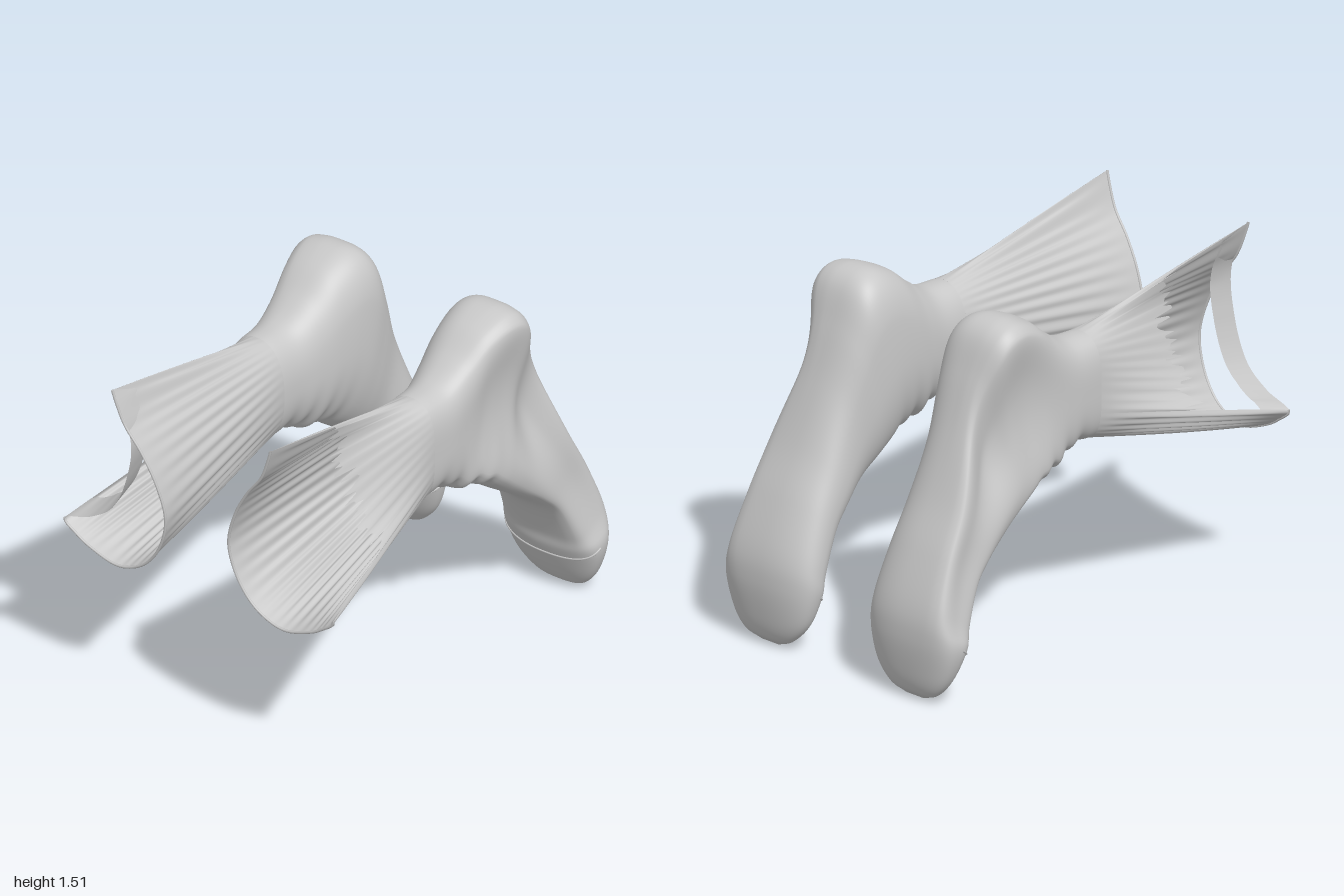
import * as THREE from 'three';

// Foot stations from ankle to toe: back z, back y, inner x, front z, front y, outer x
const STATIONS = [
  [0.05, 1.30, 0.25, 0.05, 0.84, 0.53],
  [-0.08, 1.31, 0.24, -0.04, 0.85, 0.54],
  [-0.20, 1.38, 0.22, -0.12, 0.82, 0.55],
  [-0.32, 1.47, 0.20, -0.20, 0.79, 0.57],
  [-0.45, 1.51, 0.185, -0.28, 0.77, 0.595],
  [-0.55, 1.46, 0.18, -0.36, 0.71, 0.60],
  [-0.62, 1.30, 0.19, -0.43, 0.66, 0.595],
  [-0.70, 1.07, 0.205, -0.52, 0.60, 0.595],
  [-0.80, 0.82, 0.19, -0.62, 0.53, 0.61],
  [-0.90, 0.62, 0.18, -0.70, 0.45, 0.625],
  [-0.98, 0.42, 0.165, -0.77, 0.30, 0.65],
  [-1.00, 0.28, 0.165, -0.79, 0.22, 0.665],
  [-0.985, 0.13, 0.205, -0.835, 0.11, 0.62],
  [-0.96, 0.04, 0.28, -0.88, 0.03, 0.55],
  [-0.92, 0.00, 0.36, -0.92, 0.00, 0.46],
];
const LAST = STATIONS.length - 1;
const spline = (pts, closed = false) => new THREE.CatmullRomCurve3(pts, closed, 'catmullrom', 0.5);
const backLine = spline(STATIONS.map(s => new THREE.Vector3(s[2], s[1], s[0])));
const frontLine = spline(STATIONS.map(s => new THREE.Vector3(s[5], s[4], s[3])));

// Leg opening, starting at the top, round the inner side, then back along the caved-in outer side
const RIM = spline([
  [0.40, 1.50], [0.35, 1.36], [0.27, 1.25], [0.20, 1.12], [0.16, 0.97], [0.19, 0.83],
  [0.26, 0.72], [0.35, 0.66], [0.44, 0.645], [0.55, 0.68], [0.62, 0.72], [0.68, 0.78],
  [0.55, 0.83], [0.43, 0.92], [0.35, 1.09], [0.32, 1.29],
].map(([x, y]) => new THREE.Vector3(x, y, 0.94 + 0.06 * (y - 0.64) / 0.86)), true);
const TEAR = 11 / 16; // where the torn outer wall begins around the loop

const soft = (c, p) => Math.sign(c) * Math.pow(Math.abs(c), p);
const bump = (u, centre, width) => Math.exp(-(((u - centre) / width) ** 2));

// Point on the foot: u from ankle to toe, v once around from the back through the inner side
function footPoint(u, v) {
  const a = backLine.getPoint(u), b = frontLine.getPoint(u);
  const ang = v * Math.PI * 2, cos = Math.cos(ang), sin = Math.sin(ang);
  // the heel is broad and squarish, the outer side has firm edges, the rest is round
  const heel = bump(u, 0.36, 0.16);
  const body = THREE.MathUtils.smoothstep(u, 0.05, 0.25) * (1 - THREE.MathUtils.smoothstep(u, 0.7, 0.85));
  const square = sin < 0 ? 0.35 * body : 0;
  const back = cos > 0 ? 0.25 * heel * Math.min(1, cos * 3) : 0;
  const c = soft(cos, 0.88 - back), s = soft(sin, 0.88 - Math.max(back, square * Math.min(1, -sin * 3)));
  // gathered folds on the front of the ankle
  let k = c;
  if (u < 0.34) {
    const fade = Math.sin(Math.PI * u / 0.34);
    k -= Math.max(0, -c) * 0.05 * fade * Math.sin(u / 0.34 * Math.PI * 8);
  }
  let x = (a.x + b.x) / 2 - s * (b.x - a.x) / 2;
  if (s < 0) {
    // caved-in outer wall between its edges, and the back edge drawn in below the heel
    const hollow = (0.02 + 0.07 * bump(u, 0.31, 0.12) + 0.03 * bump(u, 0.62, 0.12)) * Math.min(1, (1 - u) * 4);
    const pinch = 0.085 * bump(u, 0.46, 0.075) * THREE.MathUtils.smoothstep(c, -0.7, 0.3);
    x += s * (hollow * Math.max(0, 1 - (c / 0.85) ** 2) + pinch);
  }
  return new THREE.Vector3(x,
    (a.y + b.y) / 2 + k * (a.y - b.y) / 2,
    (a.z + b.z) / 2 + k * (a.z - b.z) / 2);
}

// Point on the ribbed leg: t from ankle to opening
function legPoint(t, v) {
  const p = footPoint(0, v).lerp(RIM.getPoint(v), t);
  const rib = 1 + 0.02 * Math.sin(Math.PI * t) * Math.sin(v * Math.PI * 72);
  p.x = 0.4 + (p.x - 0.4) * rib;
  p.y = 1.08 + (p.y - 1.08) * rib;
  return p;
}

// Surface grid from a rule; closed grids share their seam for smooth normals
function sheet(point, nu, nv, closed, side) {
  const pos = [], idx = [], cols = closed ? nv : nv + 1;
  for (let i = 0; i <= nu; i++) for (let j = 0; j < cols; j++) {
    const p = point(i / nu, j / nv);
    pos.push(p.x * side, p.y, p.z);
  }
  for (let i = 0; i < nu; i++) for (let j = 0; j < nv; j++) {
    const a = i * cols + j, b = i * cols + (j + 1) % cols, c = a + cols, d = b + cols;
    if (side > 0) idx.push(a, b, c, b, d, c);
    else idx.push(a, c, b, b, c, d);
  }
  const g = new THREE.BufferGeometry();
  g.setAttribute('position', new THREE.Float32BufferAttribute(pos, 3));
  g.setIndex(idx);
  g.computeVertexNormals();
  return g;
}

// Repeatable uneven value for frayed edges
const fray = n => { const q = Math.sin(n * 127.1) * 43758.5453; return q - Math.floor(q); };

export function createModel() {
  const model = new THREE.Group();
  model.name = 'socks';
  const knit = new THREE.MeshStandardMaterial({ color: 0xc8c8c8, side: THREE.DoubleSide });
  knit.name = 'grey knit';

  for (const side of [1, -1]) {
    const sock = new THREE.Group();
    sock.name = side > 0 ? 'leftSock' : 'rightSock';
    const add = (name, geometry) => {
      const mesh = new THREE.Mesh(geometry, knit);
      mesh.name = name;
      sock.add(mesh);
    };
    const cord = (fn, radius, n) => {
      const pts = [];
      for (let i = 0; i <= n; i++) {
        const p = fn(i / n);
        p.x *= side;
        pts.push(p);
      }
      return new THREE.TubeGeometry(spline(pts), n * 2, radius, 6);
    };

    // Foot with heel and toe
    add('foot', sheet(footPoint, 112, 96, true, side));
    add('toeSeam', cord(w => footPoint((11 + 0.35 * Math.sin(Math.PI * w)) / LAST, 0.27 + 0.46 * w), 0.005, 24));

    // Leg, open along its outer side
    add('leg', sheet((t, w) => legPoint(t, w * TEAR), 24, 200, false, side));
    add('rim', cord(w => RIM.getPoint(w * TEAR), 0.006, 40));

    // Caved-in outer wall with a frayed end
    add('tornWall', sheet((t, w) => {
      const end = 0.44 + 0.16 * fray(Math.round(w * 60) + side * 3);
      return legPoint(t * end, TEAR + w * (1 - TEAR));
    }, 12, 60, false, side));

    // Remaining band across one torn opening
    if (side < 0) {
      add('rimBand', sheet((t, w) => legPoint(0.85 + 0.15 * t, TEAR + w * (1 - TEAR)), 4, 60, false, side));
    }
    model.add(sock);
  }
  return model;
}
